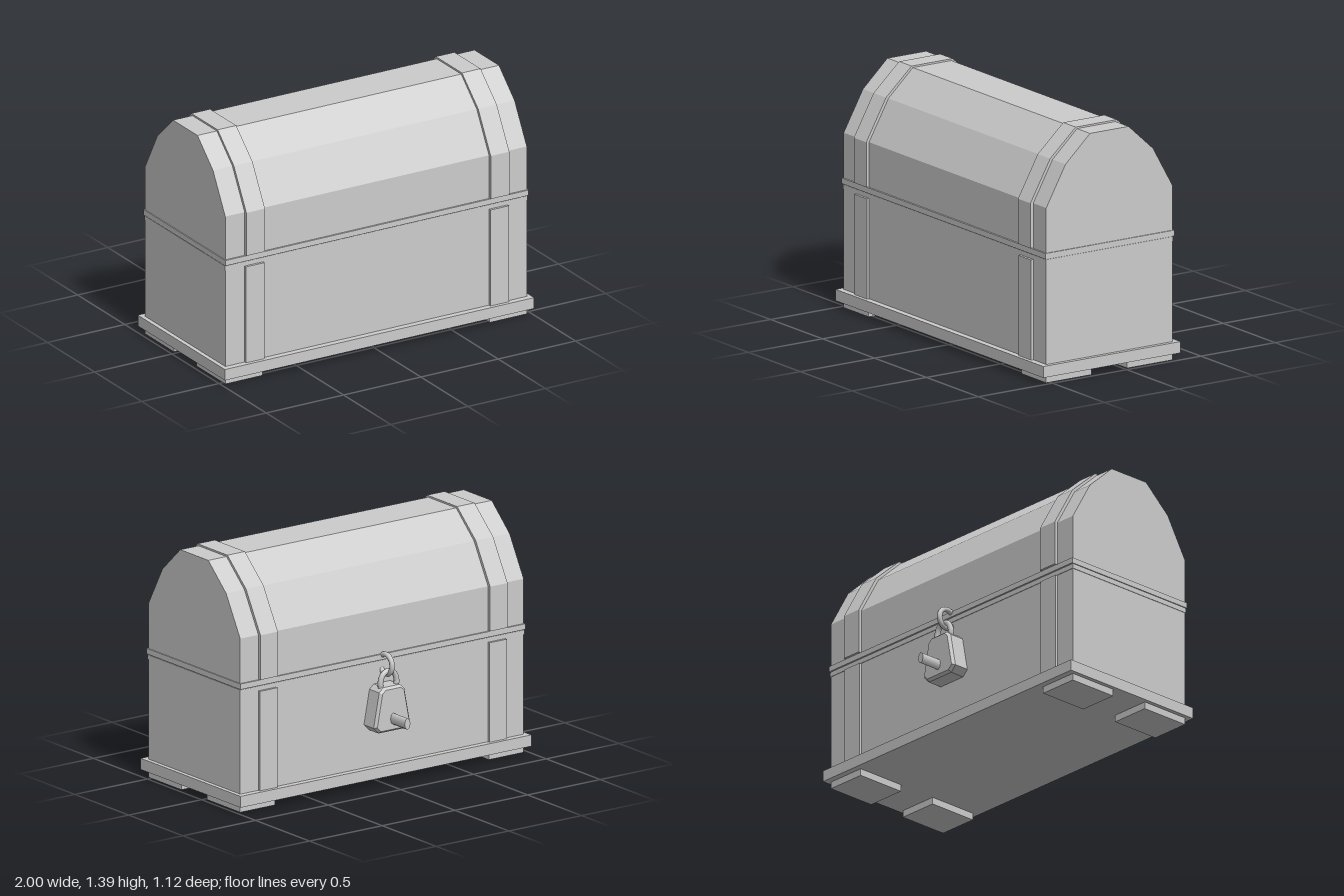
import * as THREE from 'three';

const Z = 0.1; // the chest sits forward of centre to balance the lock

export function createModel() {
  const group = new THREE.Group();
  group.name = 'chest';
  const grey = new THREE.MeshStandardMaterial({ color: 0xcccccc });
  grey.name = 'grey';

  const add = (name, geometry, x = 0, y = 0, z = 0, parent = group) => {
    const mesh = new THREE.Mesh(geometry, grey);
    mesh.name = name;
    mesh.position.set(x, y, z);
    parent.add(mesh);
    return mesh;
  };
  // Box given by its width, depth and vertical range
  const slab = (name, w, y0, y1, d, x = 0, z = Z) =>
    add(name, new THREE.BoxGeometry(w, y1 - y0, d), x, (y0 + y1) / 2, z);

  // Faceted vault, extruded along x from half of its cross-section [half depth, y]
  const vault = (name, half, width, x) => {
    const pts = [...half, ...half.map(([d, y]) => [-d, y]).reverse()];
    const shape = new THREE.Shape(pts.map(([d, y]) => new THREE.Vector2(d, y)));
    const geo = new THREE.ExtrudeGeometry(shape, { depth: width, bevelEnabled: false });
    geo.translate(0, 0, -width / 2).rotateY(-Math.PI / 2);
    return add(name, geo, x, 0, Z);
  };

  // Base, body and rims
  slab('basePlate', 2, 0.04, 0.105, 0.924);
  slab('body', 1.95, 0.1, 0.72, 0.85);
  slab('bodyLip', 1.956, 0.68, 0.706, 0.856);
  slab('lidRim', 1.962, 0.71, 0.742, 0.87);

  // Lid
  vault('lid', [[0.425, 0.73], [0.425, 1.0], [0.295, 1.23], [0.13, 1.381]], 1.95, 0);

  // Straps and feet on both ends
  for (const side of [1, -1]) {
    slab('bodyStrap', 0.12, 0.1, 0.678, 0.88, side * 0.79);
    vault('lidStrap', [[0.444, 0.745], [0.444, 1.002], [0.311, 1.237], [0.139, 1.391]], 0.12, side * 0.79);
    for (const end of [1, -1]) {
      slab('foot', 0.24, 0, 0.041, 0.305, side * 0.855, Z + end * 0.2725);
    }
  }

  // Padlock on the back
  const lock = new THREE.Group();
  lock.name = 'padlock';
  group.add(lock);
  const half = [[0.085, 0.332], [0.11, 0.358], [0.074, 0.545], [0.052, 0.564]];
  const outline = [...half, ...half.map(([x, y]) => [-x, y]).reverse()];
  const lockGeo = new THREE.ExtrudeGeometry(
    new THREE.Shape(outline.map(([x, y]) => new THREE.Vector2(x, y))),
    { depth: 0.1, bevelThickness: 0.016, bevelSize: 0.013, bevelSegments: 1 });
  add('lockBody', lockGeo, 0, 0, -0.415, lock);

  // Shackle arching out of the lock
  const shackle = new THREE.CatmullRomCurve3([
    [-0.052, 0.56], [-0.055, 0.6], [-0.037, 0.642], [0, 0.658],
    [0.037, 0.642], [0.055, 0.6], [0.052, 0.56],
  ].map(([x, y]) => new THREE.Vector3(x, y, -0.385)));
  add('shackle', new THREE.TubeGeometry(shackle, 24, 0.016, 8), 0, 0, 0, lock);

  // Ring that holds the shackle
  add('ring', new THREE.TorusGeometry(0.057, 0.015, 8, 24), 0, 0.69, -0.362, lock)
    .rotation.y = Math.PI / 2;

  // Oval key shaft
  const keyGeo = new THREE.CylinderGeometry(1, 1, 0.14, 8);
  keyGeo.rotateX(Math.PI / 2).scale(0.02, 0.033, 1);
  add('key', keyGeo, 0, 0.392, -0.492, lock);

  return group;
}
